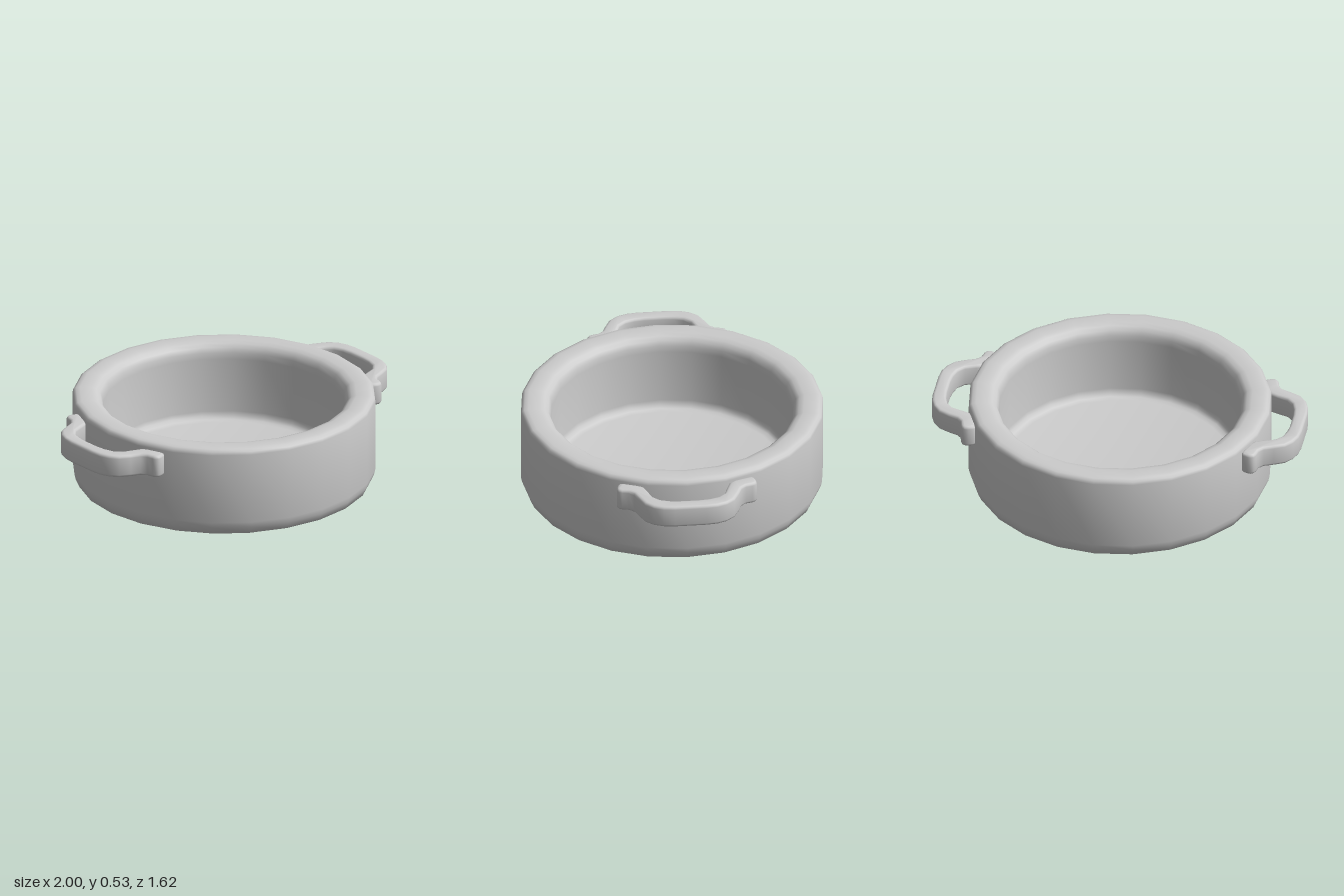
import * as THREE from 'three';
import { toCreasedNormals } from 'three/addons/utils/BufferGeometryUtils.js';

const material = new THREE.MeshStandardMaterial({ color: 0xcccccc });

// Thick-walled body: one closed profile, from the underside over the rim to the inner floor
function makeBody() {
  const profile = [
    [0, 0], [0.69, 0], [0.72, 0.006], [0.785, 0.035], [0.803, 0.075], [0.81, 0.105],
    [0.81, 0.495], [0.806, 0.512], [0.792, 0.522], [0.77, 0.526],
    [0.71, 0.526], [0.683, 0.518], [0.663, 0.502], [0.652, 0.475],
    [0.649, 0.44], [0.648, 0.14], [0.643, 0.115], [0.628, 0.1], [0.6, 0.095], [0, 0.095],
  ].map(([r, y]) => new THREE.Vector2(r, y));
  const body = new THREE.Mesh(toCreasedNormals(new THREE.LatheGeometry(profile, 24), 1), material);
  body.name = 'potBody';
  return body;
}

// Bracket handle: plan outline mirrored about its middle, extruded upwards with rounded edges
function makeHandle(name, turn) {
  const outer = [
    [1.0, 0.085], [0.993, 0.145], [0.973, 0.197], [0.937, 0.24], [0.88, 0.268],
    [0.83, 0.288], [0.807, 0.315], [0.799, 0.35], [0.79, 0.367], [0.775, 0.375], [0.755, 0.373],
  ];
  const inner = [
    [0.73, 0.364], [0.721, 0.353], [0.722, 0.335], [0.748, 0.258], [0.772, 0.228], [0.815, 0.212],
    [0.872, 0.192], [0.906, 0.155], [0.922, 0.105], [0.928, 0.05],
  ];
  const half = [...outer, ...inner];
  const outline = [...half, ...half.map(([x, z]) => [x, -z]).reverse()];
  const shape = new THREE.Shape(outline.map(([x, z]) => new THREE.Vector2(x, z)));

  const bottom = 0.358, height = 0.125, bevel = 0.016;
  const geometry = new THREE.ExtrudeGeometry(shape, {
    depth: height - 2 * bevel,
    bevelThickness: bevel,
    bevelSize: bevel,
    bevelOffset: -bevel,
    bevelSegments: 3,
  });
  geometry.rotateX(-Math.PI / 2);
  geometry.translate(0, bottom + bevel, 0);

  const handle = new THREE.Mesh(toCreasedNormals(geometry, 1), material);
  handle.name = name;
  handle.rotation.y = turn;
  return handle;
}

export function createModel() {
  const pot = new THREE.Group();
  pot.name = 'cookingPot';
  pot.add(makeBody(), makeHandle('leftHandle', 0), makeHandle('rightHandle', Math.PI));
  return pot;
}
